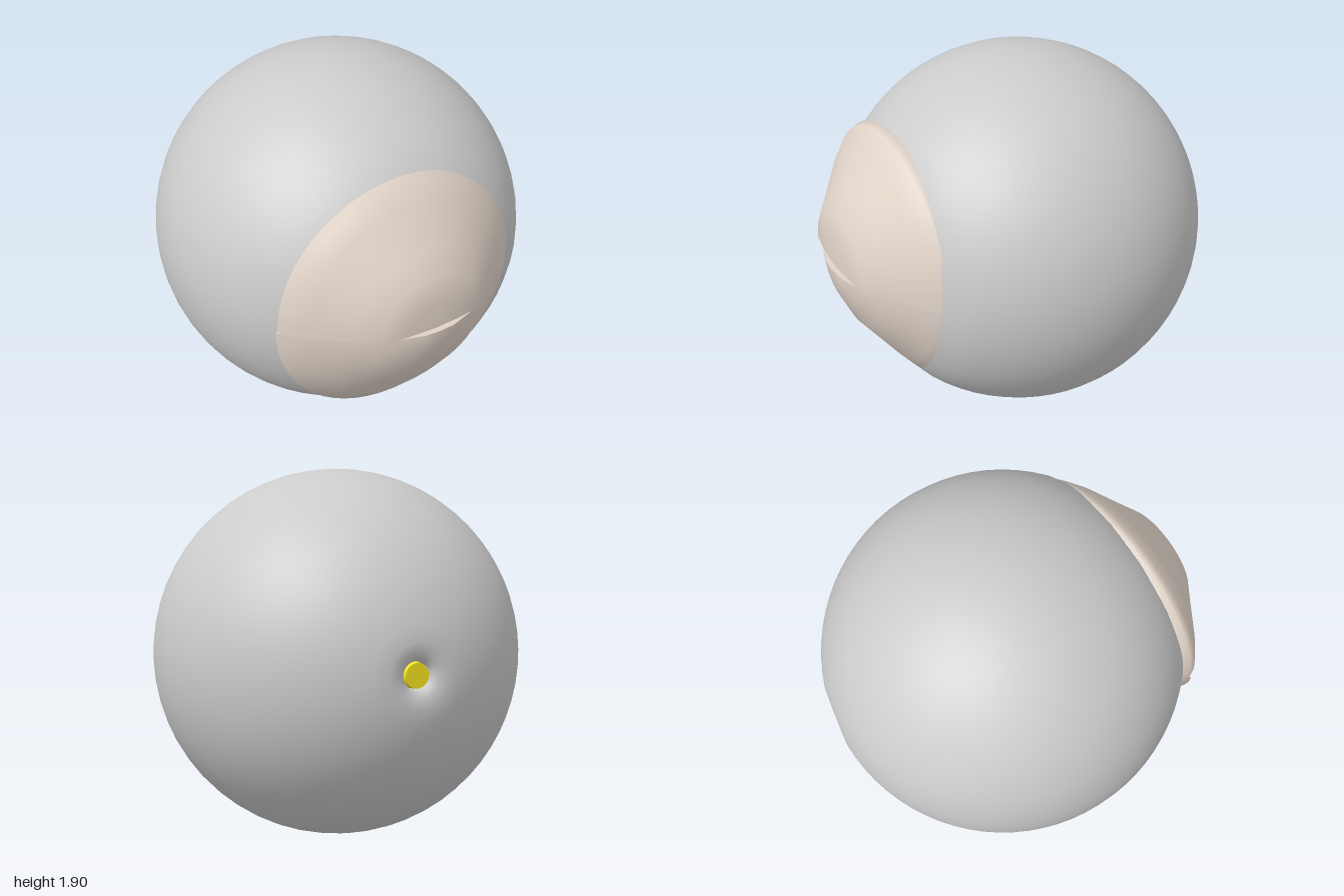
import * as THREE from 'three';
import { mergeVertices } from 'three/addons/utils/BufferGeometryUtils.js';

const V2 = (p) => new THREE.Vector2(p[0], p[1]);

function add(group, name, geometry, color, side = THREE.FrontSide) {
  const mesh = new THREE.Mesh(geometry, new THREE.MeshStandardMaterial({ color, side }));
  mesh.name = name;
  group.add(mesh);
  return mesh;
}

// Weld the seam and poles so shading is smooth all round
function weld(geometry) {
  geometry.deleteAttribute('uv');
  geometry.deleteAttribute('normal');
  const merged = mergeVertices(geometry, 1e-4);
  merged.computeVertexNormals();
  return merged;
}

export function createModel() {
  const model = new THREE.Group();
  const R = 0.95;
  const centre = new THREE.Vector3(0, 0.95, -0.05);
  const axis = new THREE.Vector3(Math.sin(0.26), 0.01, -Math.cos(0.26)).normalize();
  const turn = new THREE.Quaternion().setFromUnitVectors(new THREE.Vector3(0, 1, 0), axis);

  // Ball: turned around the axis of the small dimple at the back
  const profile = [];
  for (let i = 0; i <= 36; i++) {
    const a = Math.PI - (i / 36) * (Math.PI - 0.17);
    profile.push(new THREE.Vector2(i ? R * Math.sin(a) : 0, R * Math.cos(a)));
  }
  profile.push(...[[0.11, 0.925], [0.08, 0.915], [0.066, 0.89], [0.062, 0.85], [0, 0.85]].map(V2));
  const ball = new THREE.LatheGeometry(profile, 56);
  ball.applyQuaternion(turn).translate(centre.x, centre.y, centre.z);
  // Flatten the front so it stays beneath the face shells
  const pos = ball.attributes.position;
  for (let i = 0; i < pos.count; i++) {
    const z = pos.getZ(i);
    if (z > 0.62) pos.setZ(i, 0.62 + (z - 0.62) * 0.8);
  }
  add(model, 'ball', weld(ball), 0xcccccc);

  // Yellow plug set in the dimple
  const plug = new THREE.CylinderGeometry(0.06, 0.064, 0.04, 20);
  plug.translate(0, 0.885, 0).applyQuaternion(turn).translate(centre.x, centre.y, centre.z);
  add(model, 'plug', plug, 0xf0e020);

  // Two half shells on the front, as radius and depth from rim to middle
  const cream = 0xe0d3c8;
  const upper = [[0.63, 0.59], [0.66, 0.63], [0.645, 0.67], [0.56, 0.745], [0.39, 0.865],
    [0.28, 0.945], [0.15, 0.965], [0, 0.972]];
  const lower = [[0.63, 0.6], [0.68, 0.635], [0.57, 0.725], [0.46, 0.805], [0.33, 0.9],
    [0.18, 0.965], [0.08, 0.995], [0, 1]];
  const face = new THREE.Group();
  face.name = 'face';
  face.position.set(-0.045, 0.965, 0);
  face.rotation.z = -0.012;
  model.add(face);

  const halfShell = (points, start) => {
    const g = new THREE.LatheGeometry(points.map(V2), 28, start, Math.PI);
    return weld(g.rotateX(Math.PI / 2));
  };
  const top = add(face, 'upperShell', halfShell(upper, Math.PI / 2), cream, THREE.DoubleSide);
  top.position.set(-0.01, 0, 0);
  add(face, 'lowerShell', halfShell(lower, -Math.PI / 2), cream, THREE.DoubleSide);

  // Ledge closing the top of the lower shell
  const outline = [...lower, ...lower.slice(0, -1).reverse().map(([r, z]) => [-r, z])];
  const ledge = new THREE.ShapeGeometry(new THREE.Shape(outline.map(V2)));
  ledge.rotateX(Math.PI / 2);
  add(face, 'lowerLedge', ledge, cream, THREE.DoubleSide);

  return model;
}
